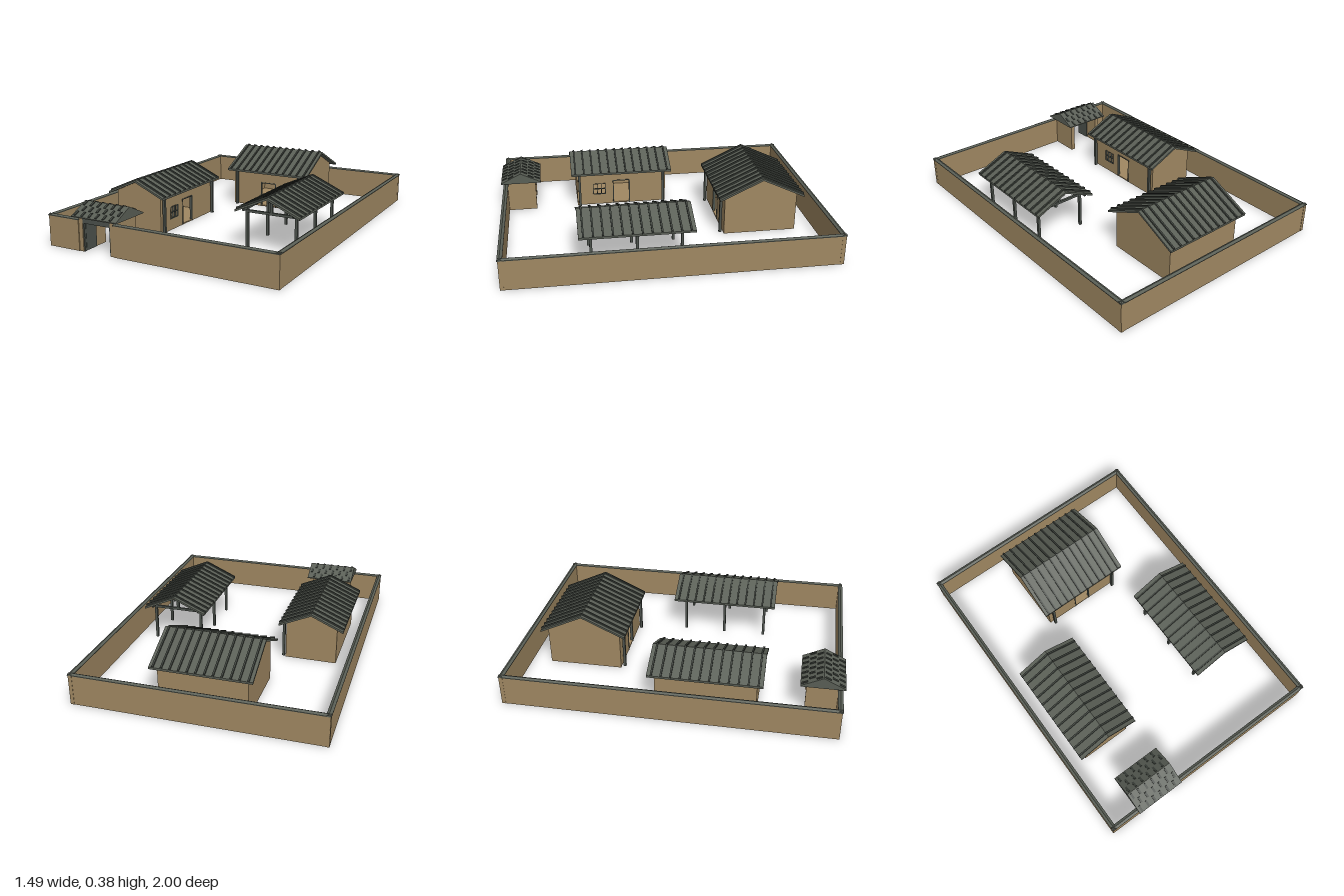
import * as THREE from 'three';

const mat = (name, color, side = THREE.FrontSide) => {
  const m = new THREE.MeshStandardMaterial({ color, side });
  m.name = name;
  return m;
};

export function createModel() {
  const earth = mat('earthWall', 0xa08862);
  const tile = mat('roofTile', 0x5a5f56);
  const rib = mat('tileRib', 0x3e433d);
  const wood = mat('darkWood', 0x4c524c);

  const add = (parent, name, geo, material, x = 0, y = 0, z = 0) => {
    const m = new THREE.Mesh(geo, material);
    m.name = name;
    m.position.set(x, y, z);
    parent.add(m);
    return m;
  };
  // box given by its limits on each axis
  const box = (parent, name, material, x0, x1, y0, y1, z0, z1) =>
    add(parent, name, new THREE.BoxGeometry(x1 - x0, y1 - y0, z1 - z0), material,
      (x0 + x1) / 2, (y0 + y1) / 2, (z0 + z1) / 2);
  const group = (parent, name, x = 0, z = 0, ry = 0) => {
    const g = new THREE.Group();
    g.name = name;
    g.position.set(x, 0, z);
    g.rotation.y = ry;
    parent.add(g);
    return g;
  };
  // cross-section in (depth, height), extruded along x and centred on it
  const alongX = (pts, length) => {
    const shape = new THREE.Shape(pts.map(p => new THREE.Vector2(...p)));
    return new THREE.ExtrudeGeometry(shape, { depth: length, bevelEnabled: false })
      .translate(0, 0, -length / 2).rotateY(Math.PI / 2);
  };
  const chevron = (half, ridge, eave, t) => [
    [-half, eave - t], [0, ridge - t], [half, eave - t], [half, eave], [0, ridge], [-half, eave]];

  // pitched roof with raised tile ribs running down both slopes
  const ribbedRoof = (parent, half, ridge, eave, length, spacing) => {
    const roof = group(parent, 'roof');
    add(roof, 'roofSlopes', alongX(chevron(half, ridge, eave, 0.013), length), tile);
    const geo = alongX(chevron(half + 0.002, ridge + 0.009, eave + 0.009, 0.011), 0.01);
    for (let i = 0; i < 12; i++) add(roof, 'tileRib', geo, rib, (i - 5.5) * spacing);
  };

  const rectHole = (x0, x1, y0, y1) => new THREE.Path([
    new THREE.Vector2(x0, y0), new THREE.Vector2(x0, y1),
    new THREE.Vector2(x1, y1), new THREE.Vector2(x1, y0)]);

  // hollow gabled house facing +z, with an open doorway and optional window
  const house = (parent, name, x, z, ry, o) => {
    const g = group(parent, name, x, z, ry);
    const { L, D, half, ridge, eave, roofL, postX, postZ, spacing, windowX } = o;
    const t = 0.012, slope = (ridge - eave) / half;
    const under = d => ridge - 0.012 - slope * d;
    const wallTop = under(D);

    box(g, 'floor', earth, -L, L, 0, 0.008, -D, D);
    box(g, 'backWall', earth, -L, L, 0, wallTop, -D, -D + t);
    const gable = alongX([[-D, 0], [D, 0], [D, wallTop], [0, ridge - 0.012], [-D, wallTop]], t);
    for (const s of [-1, 1]) add(g, 'gableWall', gable, earth, s * (L - t / 2));

    // front wall with openings
    const dw = 0.058, dh = 0.17;
    const front = new THREE.Shape([[-L, 0], [-dw, 0], [-dw, dh], [dw, dh], [dw, 0], [L, 0],
      [L, wallTop], [-L, wallTop]].map(p => new THREE.Vector2(...p)));
    if (windowX !== undefined) front.holes.push(rectHole(windowX - 0.043, windowX + 0.043, 0.07, 0.15));
    add(g, 'frontWall', new THREE.ExtrudeGeometry(front, { depth: t, bevelEnabled: false }),
      earth, 0, 0, D - t);

    // door frame
    const f = 0.006;
    for (const s of [-1, 1]) add(g, 'doorJamb', new THREE.BoxGeometry(f, dh, t + 0.006), wood, s * (dw - f / 2), dh / 2, D - t / 2);
    box(g, 'doorHead', wood, -dw, dw, dh - f, dh, D - t - 0.003, D + 0.003);

    // window frame and bars
    if (windowX !== undefined) {
      for (const dx of [-0.041, -0.014, 0.014, 0.041])
        box(g, 'windowBar', wood, windowX + dx - 0.002, windowX + dx + 0.002, 0.07, 0.15, D - 0.01, D + 0.002);
      for (const y of [0.072, 0.11, 0.148])
        box(g, 'windowRail', wood, windowX - 0.043, windowX + 0.043, y - 0.002, y + 0.002, D - 0.01, D + 0.002);
    }

    // veranda posts
    for (const s of [-1, 1])
      box(g, 'porchPost', wood, s * postX - 0.008, s * postX + 0.008, 0, under(postZ), postZ - 0.008, postZ + 0.008);

    ribbedRoof(g, half, ridge, eave, roofL, spacing);
  };

  // open pavilion on six posts
  const pavilion = (parent, x, z) => {
    const g = group(parent, 'pavilion', x, z, Math.PI / 2);
    const half = 0.202, ridge = 0.33, eave = 0.24, p = 0.155;
    const top = ridge - 0.013 - p * (ridge - eave) / half;
    for (const bay of [-0.266, 0, 0.262]) {
      for (const s of [-1, 1])
        box(g, 'post', wood, bay - 0.008, bay + 0.008, 0, top, s * p - 0.008, s * p + 0.008);
      box(g, 'tieBeam', wood, bay - 0.007, bay + 0.007, 0.215, 0.23, -p, p);
      box(g, 'kingPost', wood, bay - 0.007, bay + 0.007, 0.23, ridge - 0.015, -0.008, 0.008);
    }
    for (const s of [-1, 1])
      box(g, 'eavePurlin', wood, -0.32, 0.32, top - 0.014, top, s * p - 0.006, s * p + 0.006);
    box(g, 'ridgePurlin', wood, -0.32, 0.32, ridge - 0.032, ridge - 0.018, -0.006, 0.006);
    ribbedRoof(g, half, ridge, eave, 0.672, 0.056);
  };

  const model = new THREE.Group();
  model.name = 'walledCourtyard';

  // perimeter wall with a small pitched coping
  const walls = group(model, 'perimeterWall');
  const wallRun = (x, z, length, ry) => {
    const g = group(walls, 'wallRun', x, z, ry);
    box(g, 'wallPanel', earth, -length / 2, length / 2, 0, 0.185, -0.011, 0.011);
    add(g, 'coping', alongX([[-0.015, 0.184], [0.015, 0.184], [0.015, 0.188], [0, 0.196], [-0.015, 0.188]], length + 0.004), tile);
  };
  wallRun(0, -0.985, 1.484, 0);
  for (const s of [-1, 1]) wallRun(s * 0.73, -0.01, 1.976, Math.PI / 2);
  wallRun(-0.632, 0.968, 0.216, 0);
  wallRun(0.233, 0.968, 1.018, 0);

  house(model, 'mainHall', 0, -0.62, 0, {
    L: 0.265, D: 0.23, half: 0.268, ridge: 0.376, eave: 0.25, roofL: 0.6,
    postX: 0.235, postZ: 0.249, spacing: 0.05 });
  house(model, 'sideHouse', -0.45, 0.2, Math.PI / 2, {
    L: 0.3, D: 0.16, half: 0.202, ridge: 0.33, eave: 0.24, roofL: 0.672,
    postX: 0.283, postZ: 0.177, spacing: 0.056, windowX: -0.15 });
  pavilion(model, 0.445, 0.2);

  // gatehouse with open door leaves
  const gate = group(model, 'gatehouse', -0.4, 0.868);
  for (const s of [-1, 1]) {
    add(gate, 'gateSideWall', new THREE.BoxGeometry(0.028, 0.206, 0.2), earth, s * 0.111, 0.103, 0.006);
    add(gate, 'doorLeaf', new THREE.BoxGeometry(0.008, 0.165, 0.09), wood, s * 0.091, 0.0855, 0.045);
    add(gate, 'gateJamb', new THREE.BoxGeometry(0.008, 0.168, 0.012), wood, s * 0.093, 0.084, 0.096);
  }
  box(gate, 'gateLintel', wood, -0.097, 0.097, 0.168, 0.206, 0.086, 0.106);
  add(gate, 'gateRoof', alongX([[-0.129, 0.203], [0.129, 0.203], [0.129, 0.209], [0, 0.272], [-0.129, 0.209]], 0.314), tile);
  // staggered raised tiles on both slopes
  const pitch = Math.atan2(0.063, 0.129);
  const tileGeo = new THREE.BoxGeometry(0.013, 0.008, 0.036);
  for (const s of [-1, 1])
    for (let row = 0; row < 3; row++)
      for (let i = 0; i < 6; i++) {
        const d = 0.024 + row * 0.041;
        const t = add(gate, 'gateTile', tileGeo, rib,
          (i - 2.5) * 0.05 + (row % 2 ? 0.0125 : -0.0125), 0.272 - d * 0.063 / 0.129 + 0.001, s * d);
        t.rotation.x = s * pitch;
      }

  return model;
}
